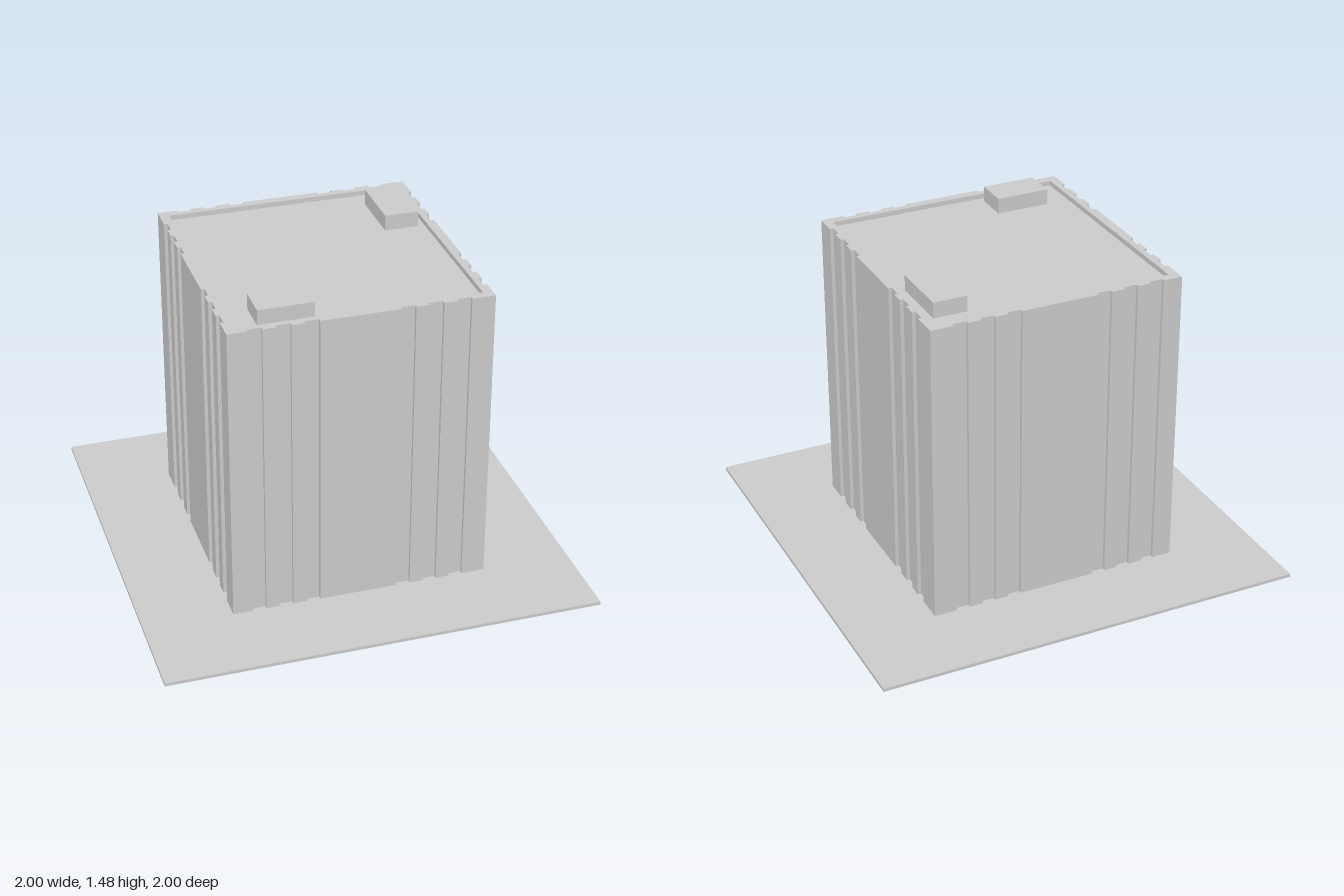
import * as THREE from 'three';

const GROUND = 0.015, ROOF = 1.402, TOP = 1.425;
const X0 = -0.593, X1 = 0.59, Z0 = -0.609, Z1 = 0.607;
const DEPTH = 0.016;
// start and end of each groove along the x-facing and z-facing walls
const GROOVES_X = [[-0.503, -0.44], [-0.378, -0.315], [-0.253, -0.19], [0.17, 0.233], [0.295, 0.358], [0.42, 0.483]];
const GROOVES_Z = [[-0.485, -0.422], [-0.36, -0.297], [-0.235, -0.172], [0.185, 0.248], [0.31, 0.373], [0.437, 0.5]];

const material = new THREE.MeshStandardMaterial({ color: 0xcccccc, flatShading: true });

function addMesh(group, name, geometry) {
  const mesh = new THREE.Mesh(geometry, material);
  mesh.name = name;
  group.add(mesh);
}

function addBox(group, name, x0, x1, y0, y1, z0, z1) {
  const geometry = new THREE.BoxGeometry(x1 - x0, y1 - y0, z1 - z0);
  geometry.translate((x0 + x1) / 2, (y0 + y1) / 2, (z0 + z1) / 2);
  addMesh(group, name, geometry);
}

// Grooved floor plan, drawn with shape y = -z
function floorPlan() {
  const points = [];
  const addWall = (start, grooves, place) => {
    points.push(place(start, 0));
    for (const [a, b] of grooves) {
      points.push(place(a, 0), place(a, DEPTH), place(b, DEPTH), place(b, 0));
    }
  };
  const reversed = (list) => list.map(([a, b]) => [b, a]).reverse();
  const at = (x, z) => new THREE.Vector2(x, -z);
  addWall(X0, GROOVES_X, (x, d) => at(x, Z1 - d));
  addWall(Z1, reversed(GROOVES_Z), (z, d) => at(X1 - d, z));
  addWall(X1, reversed(GROOVES_X), (x, d) => at(x, Z0 + d));
  addWall(Z0, GROOVES_Z, (z, d) => at(X0 + d, z));
  return new THREE.Shape(points);
}

function extrudeUp(shape, y0, y1) {
  const geometry = new THREE.ExtrudeGeometry(shape, { depth: y1 - y0, bevelEnabled: false });
  geometry.rotateX(-Math.PI / 2);
  geometry.translate(0, y0, 0);
  return geometry;
}

export function createModel() {
  const model = new THREE.Group();
  model.name = 'officeBlock';

  // Ground slab
  addBox(model, 'groundSlab', -1, 1, 0, GROUND, -1, 1);

  // Tower with vertical grooves on all four walls
  addMesh(model, 'towerWalls', extrudeUp(floorPlan(), GROUND, ROOF));

  // Low parapet around the sunken roof
  const rim = floorPlan();
  const inset = 0.043;
  rim.holes.push(new THREE.Path([
    new THREE.Vector2(X0 + inset, -Z0 - inset),
    new THREE.Vector2(X1 - inset, -Z0 - inset),
    new THREE.Vector2(X1 - inset, -Z1 + inset),
    new THREE.Vector2(X0 + inset, -Z1 + inset),
  ]));
  addMesh(model, 'parapet', extrudeUp(rim, ROOF, TOP));

  // Rooftop plant boxes
  addBox(model, 'frontRoofBox', -0.44, -0.19, ROOF, 1.475, 0.375, 0.53);
  addBox(model, 'backRoofBox', 0.358, 0.515, ROOF, 1.475, -0.47, -0.175);

  return model;
}
